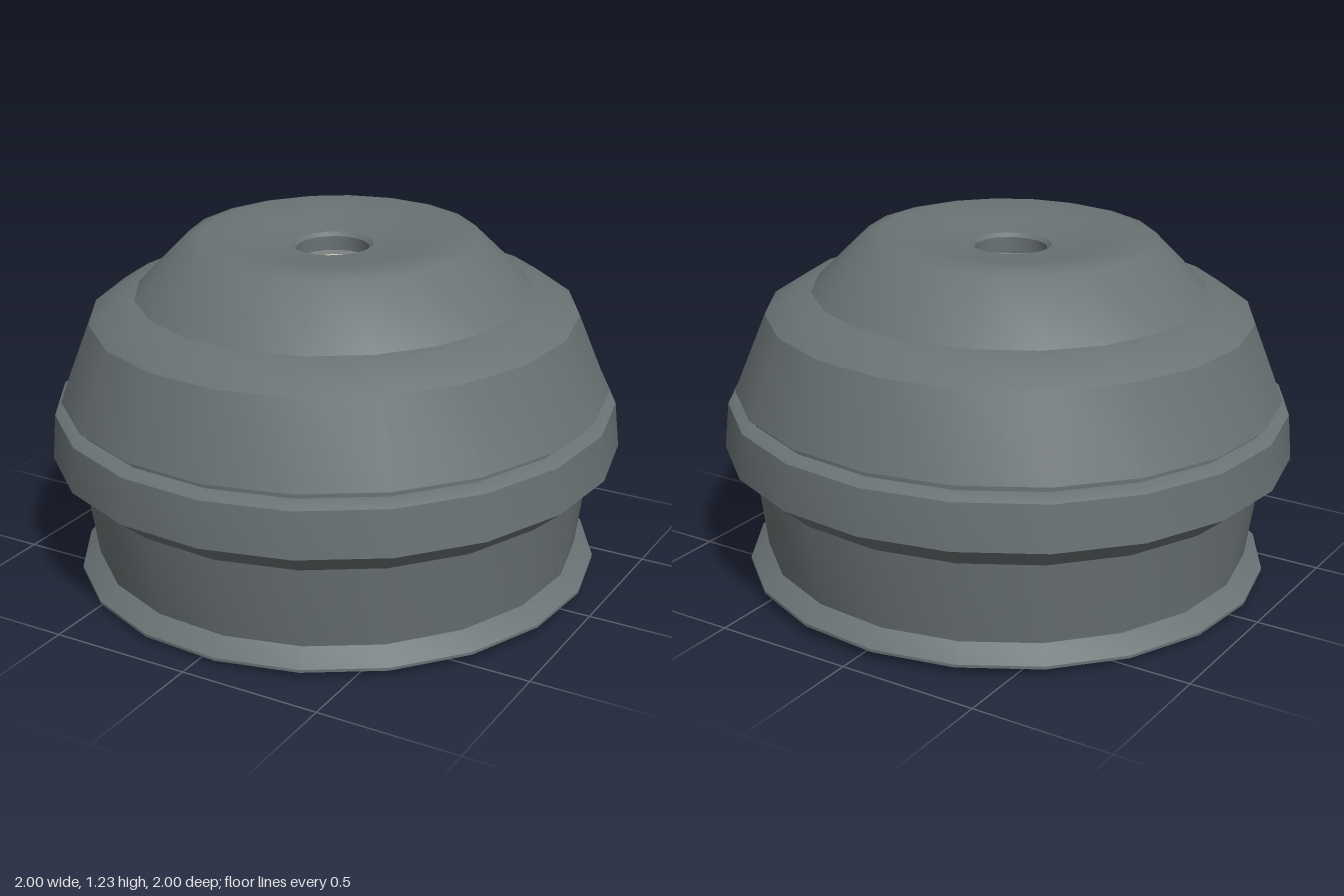
import * as THREE from 'three';
import { toCreasedNormals } from 'three/addons/utils/BufferGeometryUtils.js';

const SIDES = 20;
const CREASE = THREE.MathUtils.degToRad(32);
const PHASE = THREE.MathUtils.degToRad(4);

// Revolve a list of [radius, height] pairs; upward profiles face outward, downward ones inward
function revolve(name, profile, color, sides = SIDES) {
  const points = profile.map(([r, y]) => new THREE.Vector2(r, y));
  const geometry = toCreasedNormals(new THREE.LatheGeometry(points, sides, PHASE), CREASE);
  const mesh = new THREE.Mesh(geometry, new THREE.MeshStandardMaterial({ color }));
  mesh.name = name;
  return mesh;
}

export function createModel() {
  const lamp = new THREE.Group();
  lamp.name = 'lamp';

  // Outer shell: flared foot, lower wall, belt, groove, dome, cone, dished top and vent hole
  lamp.add(revolve('outerShell', [
    [0.84, 0.03], [0.85, 0.016], [0.88, 0.014], [0.925, 0.03], [0.925, 0.04],
    [0.86, 0.09], [0.90, 0.385],
    [1.0, 0.47], [0.985, 0.63], [0.96, 0.645],
    [0.935, 0.65], [0.935, 0.665], [0.96, 0.675],
    [0.85, 0.95], [0.75, 1.015], [0.69, 1.025],
    [0.505, 1.212], [0.45, 1.228],
    [0.30, 1.20], [0.14, 1.183],
    [0.126, 1.17], [0.126, 1.12],
  ], 0x6a7274));

  // Pale lining that follows the shell inside
  lamp.add(revolve('innerLining', [
    [0.126, 1.12], [0.30, 1.15], [0.46, 1.17],
    [0.66, 0.985], [0.73, 0.97], [0.82, 0.92],
    [0.92, 0.68], [0.90, 0.665], [0.90, 0.65], [0.94, 0.63],
    [0.955, 0.48], [0.865, 0.40], [0.825, 0.09], [0.84, 0.03],
  ], 0xb4bcbe));

  // Bulb: round globe narrowing to a neck with a bevelled cap
  const bulb = [];
  for (let i = 0; i <= 12; i++) {
    const a = -Math.PI / 2 + (i / 12) * Math.PI * 0.72;
    bulb.push([Math.max(0, 0.32 * Math.cos(a)), 0.5 + 0.32 * Math.sin(a)]);
  }
  bulb.push([0.17, 0.82], [0.14, 0.93], [0.135, 1.05], [0.115, 1.09], [0.075, 1.12], [0, 1.12]);
  lamp.add(revolve('bulb', bulb, 0xd0d0bb, 24));

  // Slight lean of the whole lamp
  lamp.rotation.set(0.01, 0, 0.01);
  lamp.position.set(0.005, 0, -0.005);

  const model = new THREE.Group();
  model.name = 'lampModel';
  model.add(lamp);
  return model;
}
